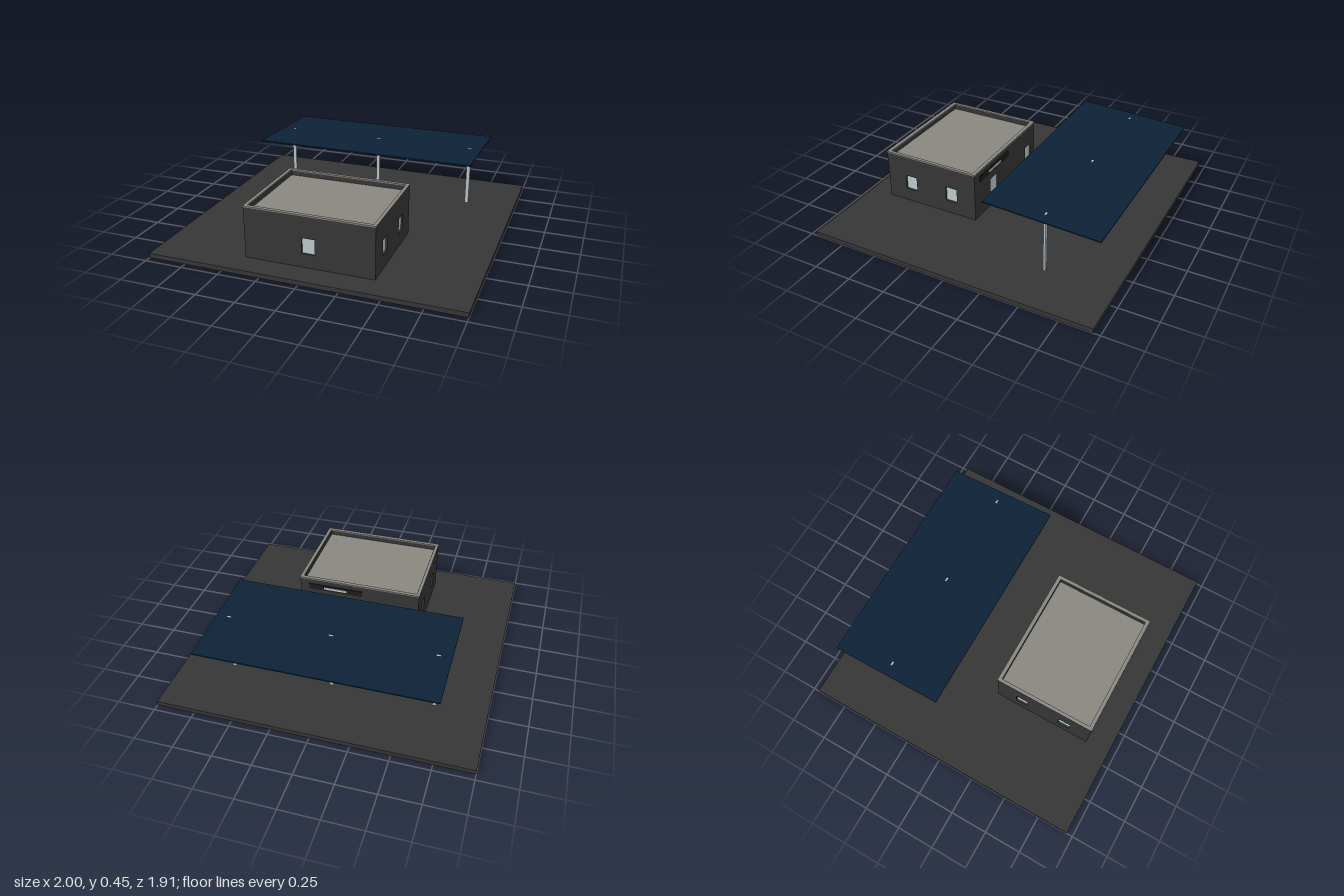
import * as THREE from 'three';

const mat = (name, color, side = THREE.FrontSide) => {
  const m = new THREE.MeshStandardMaterial({ color, side });
  m.name = name;
  return m;
};

export function createModel() {
  const concrete = mat('dark concrete', 0x363636);
  const roofGrey = mat('roof grey', 0x888780);
  const glass = mat('pale glass', 0xbccbd0);
  const steel = mat('light steel', 0xbcc4ca);
  const navy = mat('navy canopy', 0x0d2236);
  const black = mat('sign black', 0x1c1c1c);

  const model = new THREE.Group();
  model.name = 'siteWithCanopy';

  const add = (parent, name, geo, material, x = 0, y = 0, z = 0) => {
    const mesh = new THREE.Mesh(geo, material);
    mesh.name = name;
    mesh.position.set(x, y, z);
    parent.add(mesh);
    return mesh;
  };
  const box = (parent, name, w, h, d, material, x, y, z) =>
    add(parent, name, new THREE.BoxGeometry(w, h, d), material, x, y, z);
  const rect = (Type, x0, y0, x1, y1) => {
    const p = new Type();
    p.moveTo(x0, y0);
    p.lineTo(x1, y0);
    p.lineTo(x1, y1);
    p.lineTo(x0, y1);
    p.closePath();
    return p;
  };
  const extrude = (shape, depth) =>
    new THREE.ExtrudeGeometry(shape, { depth, bevelEnabled: false });

  // Ground slab
  const groundTop = 0.03;
  box(model, 'groundSlab', 2, groundTop, 1.914, concrete, 0, groundTop / 2, 0);

  // Building: origin at the middle of its footprint, on the slab
  const W = 0.835, D = 0.672, H = 0.334, T = 0.022;
  const building = new THREE.Group();
  building.name = 'building';
  building.position.set(0, groundTop, 0.459);
  model.add(building);

  // Wall with openings [centre, bottom, width, height] and set-back panes
  const wall = (name, length, out, angle, openings) => {
    const g = new THREE.Group();
    g.name = name;
    g.rotation.y = angle;
    const shape = rect(THREE.Shape, -length / 2, 0, length / 2, H);
    for (const [u, b, w, h] of openings) {
      shape.holes.push(rect(THREE.Path, u - w / 2, b, u + w / 2, b + h));
      box(g, 'glassPane', w, h, 0.004, glass, u, b + h / 2, out - 0.014);
    }
    add(g, 'wallPanel', extrude(shape, T), concrete, 0, 0, out - T);
    building.add(g);
  };
  const win = (u) => [u, 0.09, 0.084, 0.102];
  wall('frontWall', W, D / 2, 0, [win(0)]);
  wall('backWall', W, D / 2, Math.PI, [win(0.32), [-0.165, 0.004, 0.1, 0.2]]);
  for (const s of [1, -1]) {
    wall(s > 0 ? 'leftWall' : 'rightWall', D - 2 * T, W / 2, s * Math.PI / 2,
      [win(0.156), win(-0.156)]);
  }

  // Sunken roof and parapet coping
  box(building, 'roofDeck', W - 2 * T, 0.01, D - 2 * T, roofGrey, 0, H - 0.035, 0);
  const coping = rect(THREE.Shape, -0.42, -0.339, 0.42, 0.339);
  coping.holes.push(rect(THREE.Path, -0.398, -0.314, 0.398, 0.314));
  add(building, 'parapetCoping', extrude(coping, 0.008), roofGrey, 0, H, 0)
    .rotation.x = -Math.PI / 2;

  // Blank sign board above the rear entrance
  box(building, 'signBoard', 0.38, 0.04, 0.006, black, 0.165, 0.28, -D / 2 - 0.003);
  box(building, 'signStrip', 0.16, 0.016, 0.003, steel, 0.165, 0.28, -D / 2 - 0.0075);

  // Tilted canopy on three flat posts that just break its surface
  const canopy = new THREE.Group();
  canopy.name = 'canopy';
  model.add(canopy);
  box(canopy, 'canopyPanel', 1.5, 0.008, 0.75, navy, 0, 0.429, -0.5025)
    .rotation.x = -0.046;
  const postTop = 0.4332;
  for (const x of [-0.667, 0, 0.667]) {
    box(canopy, 'post', 0.025, postTop - groundTop, 0.013, steel,
      x, (postTop + groundTop) / 2, -0.502);
  }
  return model;
}
